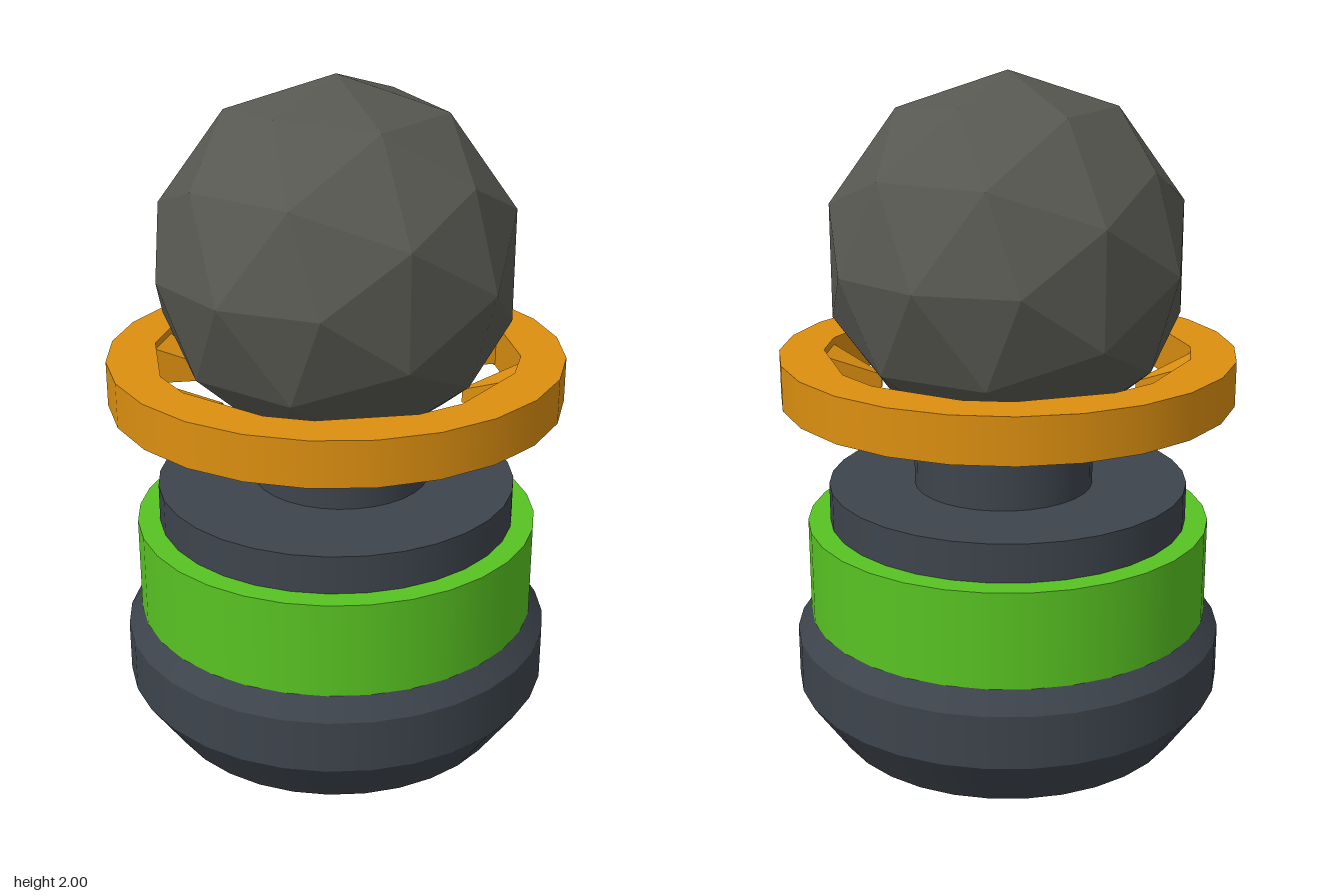
import * as THREE from 'three';
import { mergeGeometries } from 'three/addons/utils/BufferGeometryUtils.js';

const material = (name, color) => {
  const m = new THREE.MeshStandardMaterial({ color });
  m.name = name;
  return m;
};

// Revolve a profile band by band, so its corners stay sharp
function turned(points, segments = 32) {
  const bands = [];
  for (let i = 0; i + 1 < points.length; i++) {
    const pair = [points[i], points[i + 1]].map(([r, y]) => new THREE.Vector2(r, y));
    bands.push(new THREE.LatheGeometry(pair, segments));
  }
  return mergeGeometries(bands);
}

const polar = (r, a) => new THREE.Vector2(r * Math.cos(a), r * Math.sin(a));

// Collar: 24-sided outside, 16-sided hole with flat slot ends
function collarGeometry() {
  const ring = [], hole = [];
  for (let i = 0; i < 24; i++) ring.push(polar(0.675, i * Math.PI / 12));
  for (let i = 0; i < 8; i++) {
    for (const d of [-15, 15]) hole.push(polar(0.543, (i * 45 + d) * Math.PI / 180));
  }
  const shape = new THREE.Shape(ring);
  shape.holes.push(new THREE.Path(hole));
  const geo = new THREE.ExtrudeGeometry(shape, { depth: 0.135, bevelEnabled: false });
  geo.rotateX(-Math.PI / 2).translate(0, 1.055, 0);
  // Smooth the outer wall
  const p = geo.attributes.position, n = geo.attributes.normal;
  for (let i = 0; i < p.count; i++) {
    const r = Math.hypot(p.getX(i), p.getZ(i));
    if (r > 0.6 && Math.abs(n.getY(i)) < 0.5) n.setXYZ(i, p.getX(i) / r, 0, p.getZ(i) / r);
  }
  return geo;
}

// Wedge tooth pointing inward, its top sloping down towards the ball
function toothGeometry() {
  const outer = 0.54, inner = 0.38;
  const geo = new THREE.BoxGeometry(1, 1, 1).toNonIndexed();
  const p = geo.attributes.position;
  for (let i = 0; i < p.count; i++) {
    const r = p.getX(i) > 0 ? outer : inner;
    const half = (r - 0.366) * Math.tan(Math.PI / 8);
    const top = r === outer ? 1.17 : 1.1;
    p.setXYZ(i, r, p.getY(i) > 0 ? top : 1.06, Math.sign(p.getZ(i)) * half);
  }
  geo.computeVertexNormals();
  return geo;
}

export function createModel() {
  const model = new THREE.Group();
  model.name = 'ballTopPost';
  const slate = material('slate', 0x3d444c);
  const green = material('green', 0x58c322);
  const orange = material('orange', 0xdc8f10);
  const stone = material('stoneGrey', 0x585852);

  const add = (name, geometry, mat, parent = model) => {
    const mesh = new THREE.Mesh(geometry, mat);
    mesh.name = name;
    parent.add(mesh);
    return mesh;
  };

  // Hollow foot with bevelled rim
  add('foot', turned([
    [0, 0.27], [0.28, 0.27], [0.4, 0], [0.54, 0], [0.65, 0.16],
    [0.65, 0.32], [0.605, 0.385], [0, 0.385],
  ]), slate);

  // Painted band and the step above it
  add('greenBand', turned([[0.53, 0.38], [0.607, 0.38], [0.607, 0.67], [0.53, 0.67]]), green);
  add('upperStep', turned([[0.54, 0.38], [0.54, 0.785], [0, 0.785]]), slate);

  // Neck, set slightly back
  add('neck', turned([[0.268, 0.78], [0.268, 1.02], [0, 1.02]]), slate)
    .position.z = -0.027;

  // Collar with eight inward teeth
  const collar = new THREE.Group();
  collar.name = 'collar';
  model.add(collar);
  add('collarRing', collarGeometry(), orange, collar);
  const tooth = toothGeometry();
  for (let i = 0; i < 8; i++) {
    add('collarTooth', tooth, orange, collar).rotation.y = (i + 0.5) * Math.PI / 4;
  }

  // Faceted ball
  const ball = new THREE.IcosahedronGeometry(0.54, 1);
  ball.rotateY(Math.PI / 2);
  ball.computeVertexNormals();
  add('ball', ball, stone).position.y = 1.46;

  return model;
}
